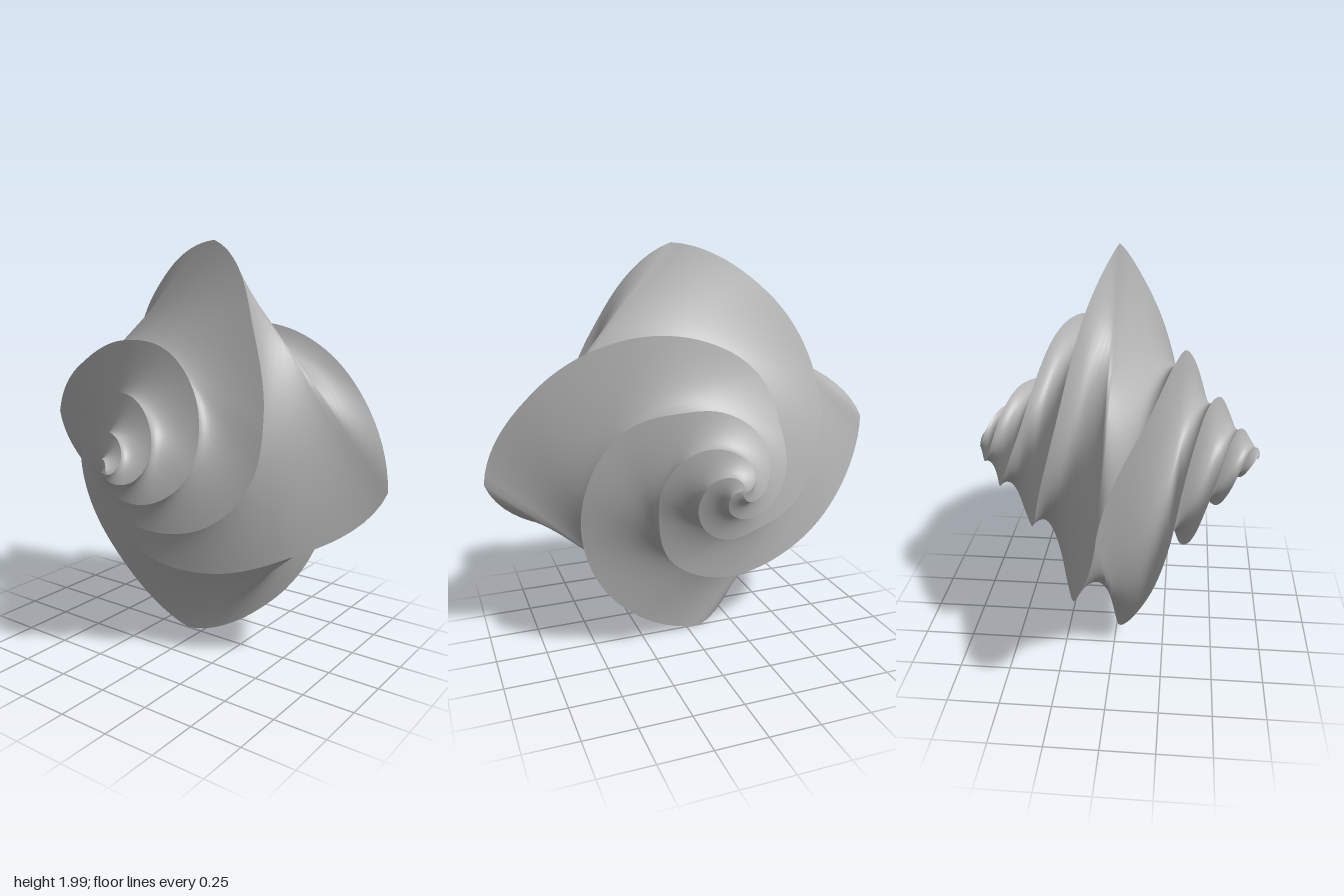
import * as THREE from 'three';

// Ridge radius and distance from the middle for every 30 degrees of winding
const FRONT_R = [1, 0.73, 0.59, 0.51, 0.425, 0.345, 0.285, 0.22, 0.17, 0.125, 0.085, 0.05, 0.02, 0];
const FRONT_Z = [0, 0.175, 0.27, 0.325, 0.385, 0.44, 0.495, 0.54, 0.58, 0.615, 0.645, 0.675, 0.695, 0.7];
const BACK_R = [1, 0.85, 0.705, 0.585, 0.48, 0.355, 0.3, 0.25, 0.2, 0.15, 0.11, 0.07, 0.03, 0];
const BACK_Z = [0, -0.115, -0.205, -0.295, -0.36, -0.435, -0.5, -0.55, -0.59, -0.625, -0.655, -0.68, -0.695, -0.7];

const LIMIT = 390;
const ridgeCurve = (radii, depths) =>
  new THREE.SplineCurve(radii.map((r, i) => new THREE.Vector2(r, depths[i])));
const frontRidge = ridgeCurve(FRONT_R, FRONT_Z);
const backRidge = ridgeCurve(BACK_R, BACK_Z);

// Ridge point (radius, z) at a winding angle in degrees, 0 being the blade tip
function ridgeAt(deg) {
  const t = Math.min(Math.abs(deg) / LIMIT, 1);
  return (deg < 0 ? backRidge : frontRidge).getPoint(t);
}

// One side of a twisted, tapering square, running from ridge to ridge
function sideGeometry(tipAngle) {
  const step = 3, across = 20, rows = (2 * LIMIT) / step;
  const pos = [], index = [];
  for (let i = 0; i <= rows; i++) {
    const deg = -LIMIT + i * step;
    const { x: radius, y: z } = ridgeAt(deg);
    const theta = THREE.MathUtils.degToRad(tipAngle - deg);
    const c = radius * Math.cos(theta), s = radius * Math.sin(theta);
    for (let j = 0; j <= across; j++) {
      const u = j / across;
      pos.push(c * (1 - u) - s * u, 1 + s * (1 - u) + c * u, z);
    }
  }
  const w = across + 1;
  for (let i = 0; i < rows; i++) {
    for (let j = 0; j < across; j++) {
      const k = i * w + j;
      index.push(k, k + 1, k + w, k + 1, k + w + 1, k + w);
    }
  }
  const g = new THREE.BufferGeometry();
  g.setAttribute('position', new THREE.Float32BufferAttribute(pos, 3));
  g.setIndex(index);
  g.computeVertexNormals();
  return g;
}

export function createModel() {
  const model = new THREE.Group();
  model.name = 'spiralShell';
  const grey = new THREE.MeshStandardMaterial({ color: 0xb3b3b3, side: THREE.DoubleSide });
  grey.name = 'plain grey';

  // Four identical sides wind around the z axis
  for (let k = 0; k < 4; k++) {
    const side = new THREE.Mesh(sideGeometry(85.5 + k * 90), grey);
    side.name = 'spiralSide' + (k + 1);
    model.add(side);
  }
  return model;
}
